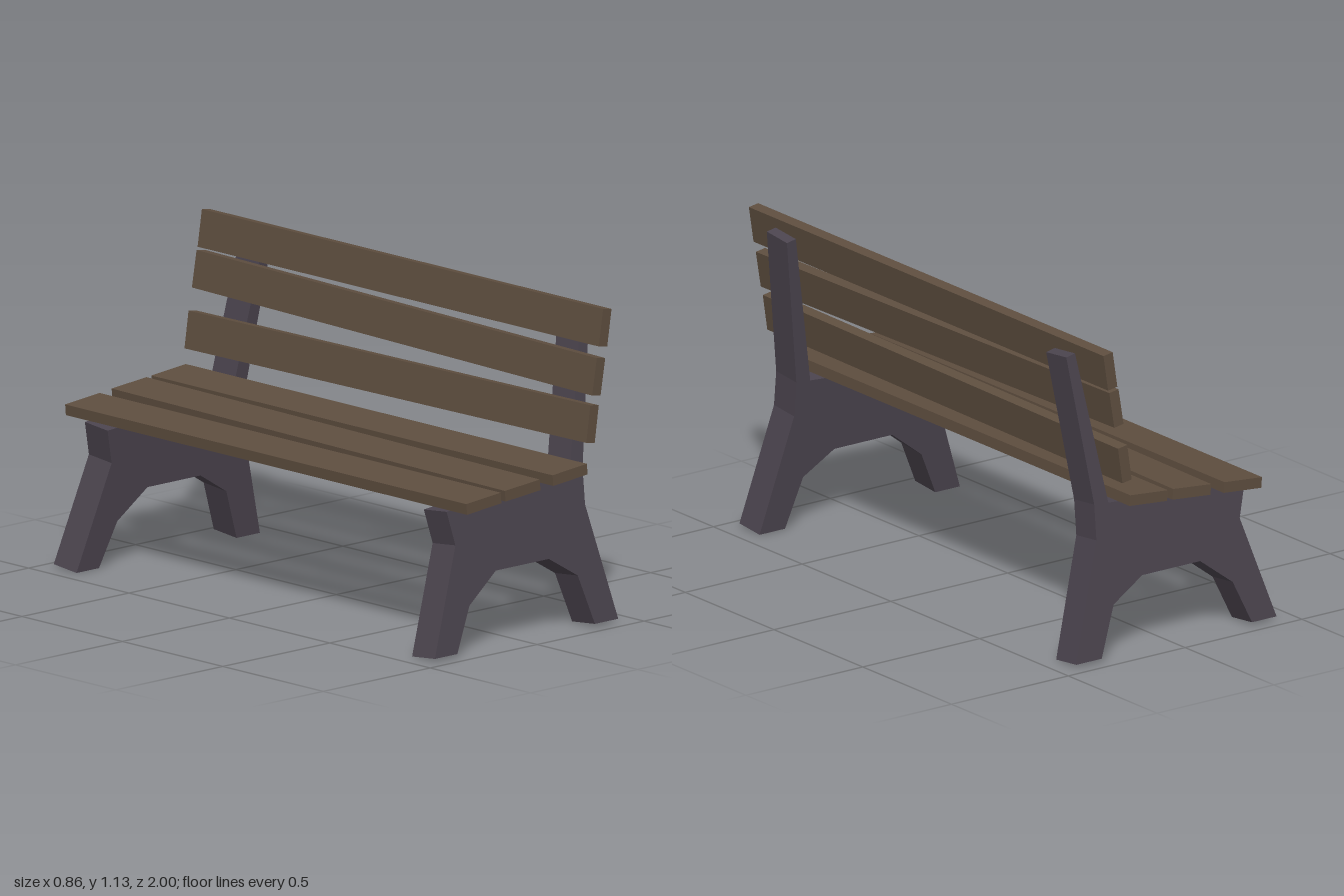
import * as THREE from 'three';

const wood = new THREE.MeshStandardMaterial({ color: 0x5e4e3f });
wood.name = 'brown wood';
const iron = new THREE.MeshStandardMaterial({ color: 0x4b444e });
iron.name = 'dark purple grey frame';

const LEAN = 0.098;      // inward lean of the side frames
const THICK = 0.114;     // thickness of a side frame
const LIFT = THICK * Math.sin(LEAN);

// Side outline of legs, arch, seat rail and back post (x, y)
const outline = [
  [-0.43, 0], [-0.325, 0], [-0.254, 0.156], [-0.122, 0.256], [0.126, 0.256],
  [0.254, 0.178], [0.318, 0], [0.427, 0], [0.31, 0.415], [0.31, 0.541],
  [0.39, 1.075], [0.352, 1.082], [0.25, 0.536], [-0.33, 0.493], [-0.30, 0.372],
];

function makeFrame(side) {
  const shape = new THREE.Shape(outline.map(([x, y]) => new THREE.Vector2(x, y)));
  const geo = new THREE.ExtrudeGeometry(shape, { depth: THICK, bevelEnabled: false });
  if (side > 0) geo.translate(0, 0, -THICK);
  const mesh = new THREE.Mesh(geo, iron);
  mesh.name = side > 0 ? 'leftSideFrame' : 'rightSideFrame';
  mesh.position.set(0, LIFT, side * 0.949);
  mesh.rotation.x = -side * LEAN;
  return mesh;
}

// Plank along z, tilted about z and skewed a little in its own plane
function makeSlat(name, x, y, width, thickness, tilt, skew) {
  const mesh = new THREE.Mesh(new THREE.BoxGeometry(width, thickness, 1.998), wood);
  mesh.name = name;
  mesh.position.set(x, y, 0);
  mesh.rotation.set(0, skew, tilt, 'ZYX');
  return mesh;
}

export function createModel() {
  const bench = new THREE.Group();
  bench.name = 'bench';

  for (const side of [1, -1]) bench.add(makeFrame(side));

  // Seat planks: x, y, skew
  [[-0.248, 0.534, 0], [-0.048, 0.552, -0.0185], [0.155, 0.569, 0]].forEach(([x, y, skew], i) =>
    bench.add(makeSlat(`seatSlat${i + 1}`, x, y, 0.161, 0.038, 0.088, skew)));

  // Backrest planks, bottom to top
  [[0.2585, 0.721, 0.009], [0.291, 0.905, -0.0145], [0.319, 1.058, 0]].forEach(([x, y, skew], i) =>
    bench.add(makeSlat(`backSlat${i + 1}`, x, y, 0.13, 0.04, Math.PI / 2 - 0.155, skew)));

  return bench;
}
